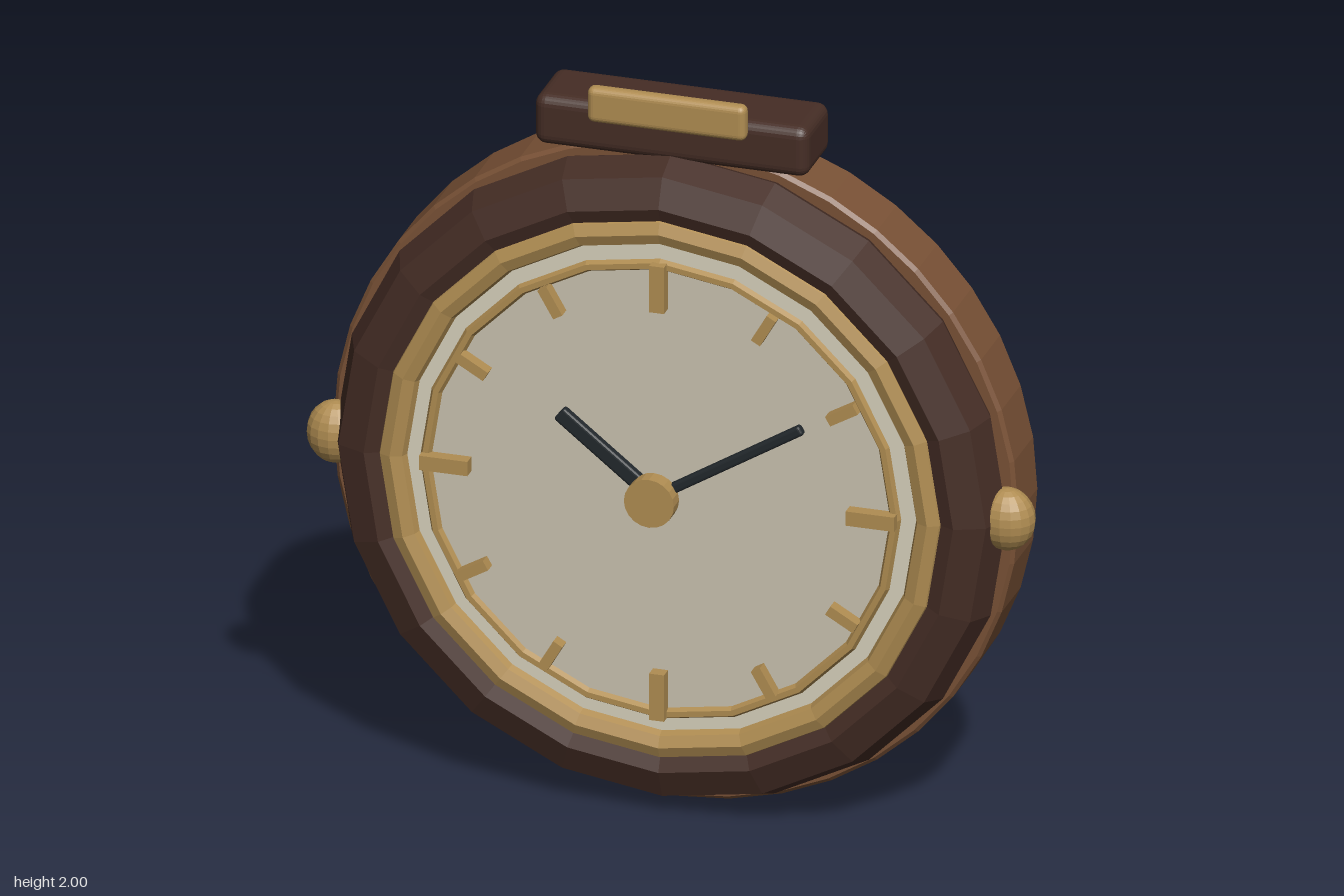
import * as THREE from 'three';
import { RoundedBoxGeometry } from 'three/addons/geometries/RoundedBoxGeometry.js';

const CY = 0.923; // height of the dial centre

const mat = (color) => new THREE.MeshStandardMaterial({ color, flatShading: true });

export function createModel() {
  const root = new THREE.Group();
  const wood = mat(0x7a5236), darkWood = mat(0x452d25), gold = mat(0xb08d52);
  const ivory = mat(0xd8d2bd), glassTint = mat(0xcbc3b0), black = mat(0x22282c);

  const add = (name, geometry, material, x = 0, y = 0, z = 0, parent = root) => {
    const mesh = new THREE.Mesh(geometry, material);
    mesh.name = name;
    mesh.position.set(x, y, z);
    parent.add(mesh);
    return mesh;
  };

  // disc facing +z between two depths
  const disc = (r, z0, z1, seg) =>
    new THREE.CylinderGeometry(r, r, z1 - z0, seg).rotateX(Math.PI / 2).translate(0, 0, (z0 + z1) / 2);

  // round case with a slightly bevelled rim
  const caseProfile = [[0, -0.2], [0.908, -0.2], [0.918, -0.19], [0.918, -0.03], [0.908, -0.02], [0, -0.02]]
    .map(([r, z]) => new THREE.Vector2(r, z));
  add('case', new THREE.LatheGeometry(caseProfile, 40).rotateX(Math.PI / 2), wood, 0, CY);

  // rings around the dial
  add('bezel', new THREE.TorusGeometry(0.79, 0.11, 8, 20), darkWood, 0, CY, 0.01);
  add('goldRing', new THREE.TorusGeometry(0.72, 0.042, 8, 20), gold, 0, CY, 0.08);
  add('innerRing', new THREE.TorusGeometry(0.63, 0.015, 6, 20), gold, 0, CY, 0.1);

  // dial and its cover
  add('face', disc(0.73, -0.03, 0.09, 40), ivory, 0, CY);
  add('faceCover', disc(0.625, 0.085, 0.1, 40), glassTint, 0, CY);

  // hour markers, larger at the quarters
  const markers = new THREE.Group();
  markers.name = 'hourMarkers';
  markers.position.set(0, CY, 0.115);
  root.add(markers);
  for (let i = 0; i < 12; i++) {
    const big = i % 3 === 0, a = (i * Math.PI) / 6;
    const size = big ? [0.04, 0.13] : [0.028, 0.085];
    const m = add('hourMarker', new THREE.BoxGeometry(size[0], size[1], 0.04), gold,
      Math.sin(a) * 0.572, Math.cos(a) * 0.572, 0, markers);
    m.rotation.z = -a;
  }

  // hands, angle measured clockwise from the top
  const hand = (name, angle, length, width, z) => {
    const g = new RoundedBoxGeometry(width, length, 0.026, 2, 0.008).translate(0, length / 2, 0);
    add(name, g, black, 0, CY, z).rotation.z = -angle;
  };
  hand('hourHand', -0.9, 0.325, 0.044, 0.151);
  hand('minuteHand', 1.02, 0.465, 0.028, 0.153);
  add('handPin', disc(0.032, 0.09, 0.16, 16), gold, 0, CY);
  add('handCap', disc(0.067, 0.155, 0.2, 20), gold, 0, CY);

  // side knobs
  for (const s of [1, -1]) {
    const knob = add(s > 0 ? 'leftKnob' : 'rightKnob', new THREE.SphereGeometry(1, 16, 12), gold, s * 0.9, CY, 0.01);
    knob.scale.set(0.075, 0.085, 0.065);
  }

  // top block with its gold plate
  add('topBlock', new RoundedBoxGeometry(0.735, 0.14, 0.2, 3, 0.03), darkWood, 0, 1.872, -0.08);
  add('topPlate', new RoundedBoxGeometry(0.425, 0.098, 0.042, 3, 0.018), gold, 0, 1.951, 0.039);

  return root;
}
